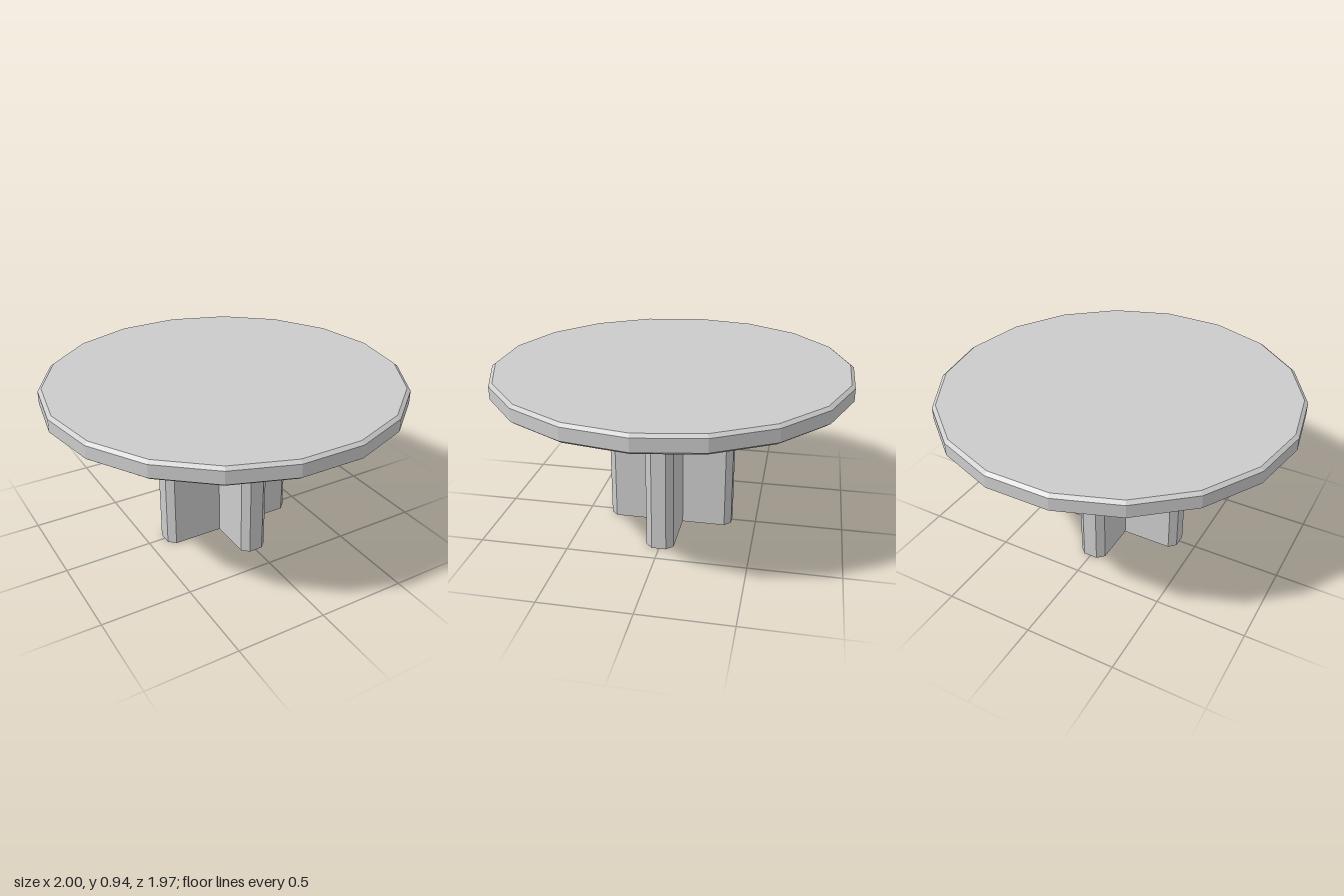
import * as THREE from 'three';

const material = new THREE.MeshStandardMaterial({ color: 0xcccccc, flatShading: true });

export function createModel() {
  const group = new THREE.Group();
  group.name = 'table';

  // Eighteen-sided top with bevelled rims, a corner pointing along +x
  const profile = [[0, 0.845], [0.98, 0.845], [1, 0.86], [1, 0.93], [0.98, 0.945], [0, 0.945]]
    .map(([r, y]) => new THREE.Vector2(r, y));
  const top = new THREE.Mesh(new THREE.LatheGeometry(profile, 18, Math.PI / 2), material);
  top.name = 'tableTop';
  group.add(top);

  // Cross-shaped pedestal with chamfered arm ends
  const armX = 0.4, armZ = 0.36, half = 0.077, cut = 0.037;
  const quarter = [
    [armX, half - cut], [armX - cut, half], [half, half],
    [half, armZ - cut], [half - cut, armZ],
  ];
  const mirrored = (sx, sy) => quarter.map(([x, y]) => new THREE.Vector2(x * sx, y * sy));
  const outline = [
    ...mirrored(1, 1), ...mirrored(-1, 1).reverse(),
    ...mirrored(-1, -1), ...mirrored(1, -1).reverse(),
  ];
  const geometry = new THREE.ExtrudeGeometry(new THREE.Shape(outline), { depth: 0.845, bevelEnabled: false });
  geometry.rotateX(-Math.PI / 2);
  const pedestal = new THREE.Mesh(geometry, material);
  pedestal.name = 'pedestal';
  group.add(pedestal);

  return group;
}
